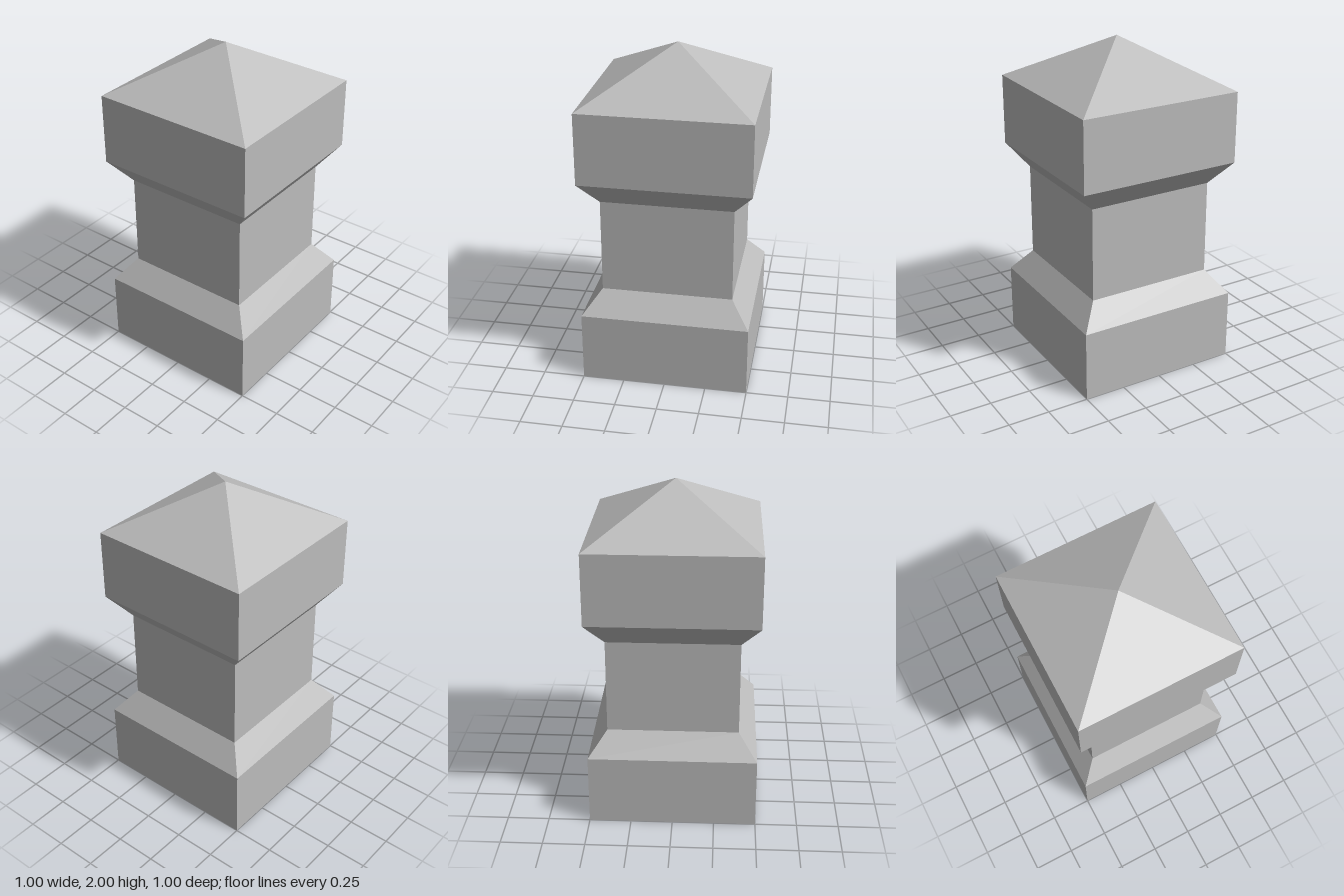
import * as THREE from 'three';

const WIDE = 0.5; // half width of base and head
const NARROW = 0.39; // half width of shaft

// Square section between two heights, with flat faces
function squareSection(name, y0, y1, half0, half1, material, openEnded = true) {
  const indexed = new THREE.CylinderGeometry(
    half1 * Math.SQRT2, half0 * Math.SQRT2, y1 - y0, 4, 1, openEnded);
  indexed.rotateY(Math.PI / 4);
  indexed.translate(0, (y0 + y1) / 2, 0);
  const geometry = indexed.toNonIndexed();
  geometry.computeVertexNormals();
  const mesh = new THREE.Mesh(geometry, material);
  mesh.name = name;
  return mesh;
}

export function createModel() {
  const stone = new THREE.MeshStandardMaterial({ color: 0xbcbcbc });
  stone.name = 'stone grey';

  const post = new THREE.Group();
  post.name = 'stonePost';
  post.add(
    squareSection('base', 0, 0.429, WIDE, WIDE, stone, false),
    squareSection('baseSlope', 0.429, 0.571, WIDE, NARROW, stone),
    squareSection('shaft', 0.571, 1.143, NARROW, NARROW, stone),
    squareSection('headSlope', 1.143, 1.286, NARROW, WIDE, stone),
    squareSection('head', 1.286, 1.714, WIDE, WIDE, stone),
    squareSection('pyramidCap', 1.714, 2, WIDE, 0, stone),
  );
  return post;
}
